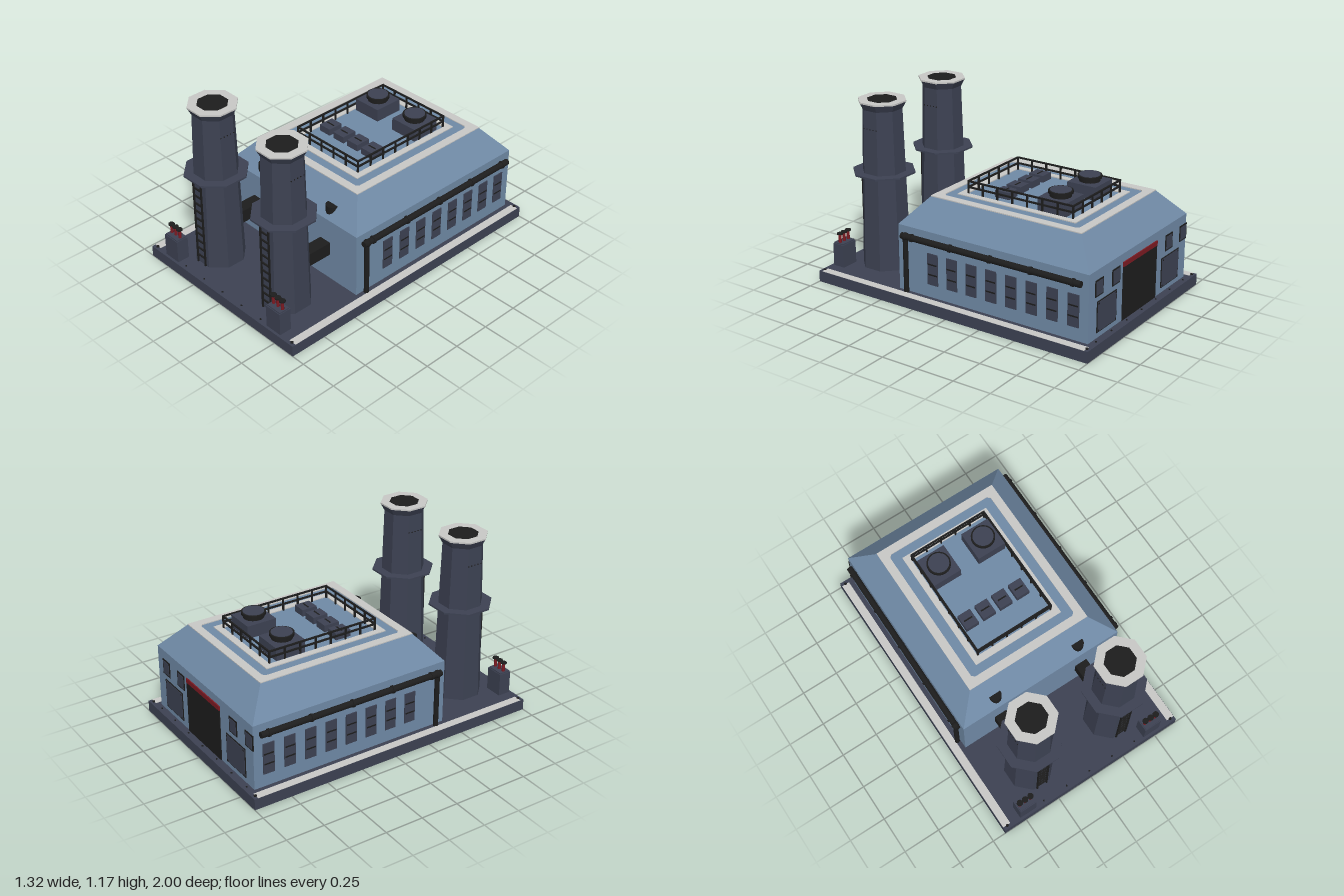
import * as THREE from 'three';

const mat = (name, color) => {
  const m = new THREE.MeshStandardMaterial({ color });
  m.name = name;
  return m;
};

export function createModel() {
  const blue = mat('blueCladding', 0x6f89a5);
  const slate = mat('slateMetal', 0x3c4152);
  const light = mat('paleConcrete', 0xc7c7c5);
  const black = mat('blackMetal', 0x1d1d1d);
  const red = mat('redPaint', 0x7c1a22);

  const model = new THREE.Group();
  model.name = 'powerPlant';
  const group = (name, parent = model) => {
    const g = new THREE.Group();
    g.name = name;
    parent.add(g);
    return g;
  };
  const add = (name, geo, m, x, y, z, parent = model) => {
    const mesh = new THREE.Mesh(geo, m);
    mesh.name = name;
    mesh.position.set(x, y, z);
    parent.add(mesh);
    return mesh;
  };
  // boxes and cylinders are placed by their centre
  const box = (name, m, w, h, d, x, y, z, parent) =>
    add(name, new THREE.BoxGeometry(w, h, d), m, x, y, z, parent);
  const cyl = (name, m, r, h, x, y, z, parent, sides = 16) =>
    add(name, new THREE.CylinderGeometry(r, r, h, sides), m, x, y, z, parent);
  const faceted = (geo) => {
    const g = geo.toNonIndexed();
    g.computeVertexNormals();
    return g;
  };
  // eight-sided turned part with flat faces on the axes; profile gives [half width, y]
  const octagon = (profile) => faceted(new THREE.LatheGeometry(
    profile.map(([a, y]) => new THREE.Vector2(a / Math.cos(Math.PI / 8), y)), 8, Math.PI / 8));
  const rect = (path, x, y) =>
    path.moveTo(-x, -y).lineTo(x, -y).lineTo(x, y).lineTo(-x, y).closePath();
  const cutRect = (path, x, y, c) =>
    path.moveTo(c - x, -y).lineTo(x - c, -y).lineTo(x, c - y).lineTo(x, y - c)
      .lineTo(x - c, y).lineTo(c - x, y).lineTo(-x, y - c).lineTo(-x, c - y).closePath();
  // flat rectangular frame on the ground plane; the hole may have cut corners
  const frame = (x, z, ix, iz, h, cut = 0) => {
    const s = rect(new THREE.Shape(), x, z);
    const hole = new THREE.Path();
    s.holes.push(cut ? cutRect(hole, ix, iz, cut) : rect(hole, ix, iz));
    return new THREE.ExtrudeGeometry(s, { depth: h, bevelEnabled: false }).rotateX(-Math.PI / 2);
  };

  // Base: a hollow tray, open underneath
  box('baseDeck', slate, 1.32, 0.003, 2, 0, 0.0715, 0);
  add('baseWalls', frame(0.66, 1, 0.657, 0.997, 0.07), slate, 0, 0, 0);
  for (const s of [-1, 1]) {
    box('kerbStrip', light, 0.053, 0.003, 1.95, s * 0.632, 0.0735, 0);
    for (let i = -3; i <= 3; i++)
      cyl('baseBolt', black, 0.006, 0.006, i * 0.175, 0.075, s * 0.973, model, 6);
    for (const e of [-1, 1])
      cyl('cornerBolt', black, 0.01, 0.006, e * 0.63, 0.076, s * 0.978, model, 6);
  }

  // Main hall: walls and hipped roof
  const hall = group('hall');
  hall.position.z = -0.27;
  box('walls', blue, 1.15, 0.428, 1.36, 0, 0.286, 0, hall);
  const hip = new THREE.BoxGeometry(1.15, 0.165, 1.36);
  const p = hip.attributes.position;
  for (let i = 0; i < p.count; i++) {
    if (p.getY(i) < 0) continue;
    p.setX(i, p.getX(i) - Math.sign(p.getX(i)) * 0.143);
    p.setZ(i, p.getZ(i) - Math.sign(p.getZ(i)) * 0.143);
  }
  add('hippedRoof', faceted(hip), blue, 0, 0.5825, 0, hall);
  add('roofBorder', frame(0.432, 0.537, 0.376, 0.482, 0.007, 0.018), light, 0, 0.664, 0, hall);
  add('innerBorder', frame(0.313, 0.423, 0.272, 0.378, 0.007), light, 0, 0.664, 0, hall);

  // Roof railing
  const railing = group('roofRailing');
  const rx = 0.268, rz = 0.375, zc = -0.272;
  for (const s of [-1, 1]) {
    for (const y of [0.71, 0.748]) {
      box('rail', black, 0.01, 0.01, rz * 2 + 0.01, s * rx, y, zc, railing);
      box('rail', black, rx * 2, 0.01, 0.01, 0, y, zc + s * rz, railing);
    }
    for (let i = 0; i <= 7; i++)
      box('post', black, 0.01, 0.085, 0.01, s * rx, 0.707, zc - rz + i * rz * 2 / 7, railing);
    for (let i = 1; i < 5; i++)
      box('post', black, 0.01, 0.085, 0.01, -rx + i * rx * 2 / 5, 0.707, zc + s * rz, railing);
  }

  // Roof fans
  for (const s of [-1, 1]) {
    const fan = group('roofFan');
    fan.position.set(s * 0.163, 0, -0.495);
    box('fanHousing', slate, 0.195, 0.085, 0.2, 0, 0.7065, 0, fan);
    cyl('fanCollar', black, 0.066, 0.022, 0, 0.759, 0, fan, 20);
    cyl('fanRim', black, 0.076, 0.018, 0, 0.778, 0, fan, 20);
    cyl('fanCap', slate, 0.066, 0.008, 0, 0.786, 0, fan, 20);
  }
  // Small roof vents
  for (let i = 0; i < 4; i++) {
    const x = -0.198 + i * 0.124;
    box('roofVent', slate, 0.09, 0.045, 0.104, x, 0.687, -0.111);
    box('ventSlot', black, 0.06, 0.004, 0.009, x, 0.71, -0.111);
  }

  // Side windows and steam pipes
  for (const s of [-1, 1]) {
    const side = group(s > 0 ? 'leftSide' : 'rightSide');
    for (let i = 0; i < 8; i++) {
      const z = 0.15 - i * 0.143;
      box('sideWindow', slate, 0.009, 0.204, 0.076, s * 0.577, 0.26, z, side);
      for (const y of [0.225, 0.292])
        box('windowBar', black, 0.009, 0.009, 0.066, s * 0.579, y, z, side);
    }
    cyl('mainPipe', black, 0.02, 1.28, s * 0.595, 0.44, -0.27, side).rotation.x = Math.PI / 2;
    cyl('downPipe', black, 0.016, 0.37, s * 0.594, 0.255, 0.343, side);
    add('pipeElbow', new THREE.SphereGeometry(0.025, 14, 10), black, s * 0.595, 0.44, 0.343, side);
    for (let i = 0; i < 5; i++)
      cyl('pipeFlange', black, 0.025, 0.012, s * 0.595, 0.44, 0.295 - i * 0.288, side)
        .rotation.x = Math.PI / 2;
  }

  // Back wall: big door, side shutters and windows
  const back = group('backWall');
  box('mainDoor', black, 0.4, 0.345, 0.009, 0, 0.2445, -0.951, back);
  box('doorLintel', red, 0.4, 0.03, 0.012, 0, 0.432, -0.952, back);
  for (const s of [-1, 1]) {
    box('shutterFrame', black, 0.218, 0.196, 0.006, s * 0.377, 0.205, -0.951, back);
    box('shutter', slate, 0.206, 0.184, 0.009, s * 0.377, 0.205, -0.952, back);
    for (const e of [-1, 1])
      for (const y of [0.121, 0.289])
        box('shutterBolt', black, 0.01, 0.01, 0.008, s * 0.377 + e * 0.095, y, -0.954, back);
  }
  for (const x of [0.465, 0.278, -0.354, -0.535]) {
    box('backWindowFrame', black, 0.088, 0.103, 0.006, x, 0.388, -0.951, back);
    box('backWindow', slate, 0.07, 0.085, 0.009, x, 0.388, -0.952, back);
  }

  // Chimneys with walkway, ladder and flue duct
  for (const s of [-1, 1]) {
    const c = group(s > 0 ? 'leftChimney' : 'rightChimney');
    c.position.set(s * 0.305, 0, 0.732);
    add('stack', octagon([[0.147, 0.072], [0.12, 1.118], [0.142, 1.162]]), slate, 0, 0, 0, c);
    add('stackRim', octagon([[0.142, 1.162], [0.144, 1.162], [0.144, 1.172], [0.09, 1.172]]),
      light, 0, 0, 0, c);
    add('stackBore', octagon([[0.09, 1.172], [0.09, 1.168], [0, 1.168]]), black, 0, 0, 0, c);
    add('walkway', octagon([[0.12, 0.698], [0.188, 0.698], [0.188, 0.709], [0.12, 0.709]]),
      slate, 0, 0, 0, c);
    // row of rivets on each side face
    for (const e of [-1, 1])
      for (let i = -2; i <= 2; i++)
        box('stackRivet', black, 0.009, 0.006, 0.006, e * 0.123, 1.002, i * 0.024, c);
    for (const e of [-1, 1])
      box('ladderRail', black, 0.01, 0.627, 0.009, e * 0.035, 0.385, 0.152, c);
    for (let i = 0; i < 11; i++)
      box('ladderRung', black, 0.07, 0.01, 0.008, 0, 0.13 + i * 0.0555, 0.152, c);
    box('flueDuct', black, 0.085, 0.088, 0.23, 0, 0.297, -0.225, c);
    cyl('roofOutlet', black, 0.041, 0.055, 0, 0.548, -0.382, c);

    // Transformer with three insulators
    const t = group('transformer');
    t.position.set(s * 0.475, 0, 0.942);
    box('transformerTank', slate, 0.12, 0.152, 0.083, 0, 0.148, 0, t);
    box('transformerLid', slate, 0.11, 0.01, 0.073, 0, 0.227, 0, t);
    for (const i of [-1, 0, 1]) {
      cyl('insulator', red, 0.01, 0.06, i * 0.039, 0.26, 0, t, 10);
      cyl('insulatorCap', black, 0.02, 0.009, i * 0.039, 0.293, 0, t, 10);
    }
  }
  return model;
}
